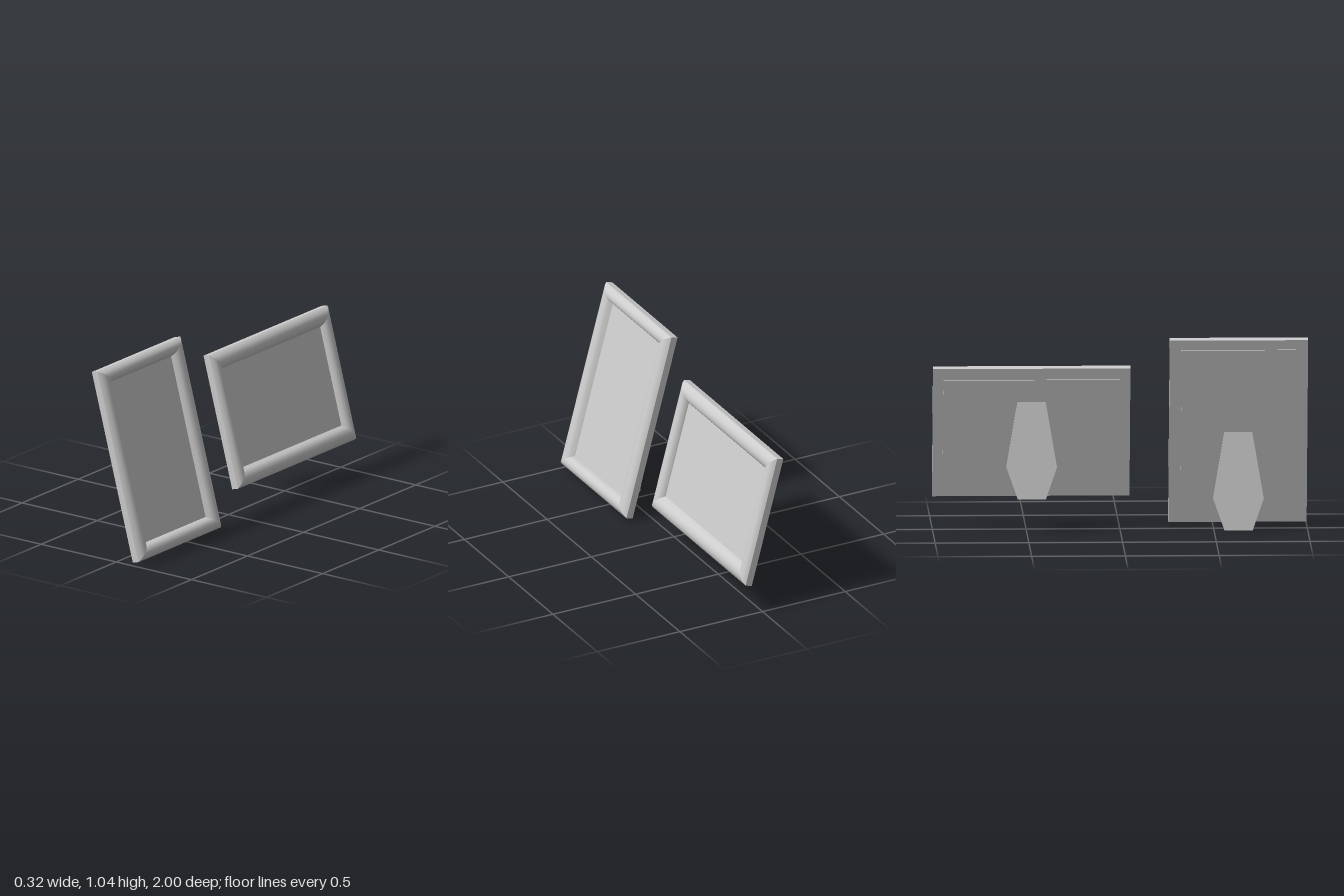
import * as THREE from 'three';
import { toCreasedNormals } from 'three/addons/utils/BufferGeometryUtils.js';

const W = 0.738, H = 1.053;           // outer size of one frame
const RAIL_X = 0.097, RAIL_Y = 0.083; // side and end rail widths
const TILT = THREE.MathUtils.degToRad(15);
const material = new THREE.MeshStandardMaterial({ color: 0xcccccc });

// moulding section: share of the rail width inwards, height above the back
const PROFILE = [
  [0, 0], [0, 0.038], [0.1, 0.049], [0.25, 0.058], [0.42, 0.0625],
  [0.6, 0.0615], [0.75, 0.056], [0.85, 0.049], [1, 0.028], [1, 0],
];
const CORNERS = [[-1, -1], [1, -1], [1, 1], [-1, 1]];

function addMesh(parent, geometry, name) {
  const mesh = new THREE.Mesh(geometry, material);
  mesh.name = name;
  parent.add(mesh);
  return mesh;
}

// one mitred rail between two neighbouring corners
function railGeometry(k) {
  const at = (corner, [t, n]) => [
    corner[0] * (W / 2 - t * RAIL_X), corner[1] * (H / 2 - t * RAIL_Y), n];
  const from = CORNERS[k], to = CORNERS[(k + 1) % 4];
  const positions = [];
  PROFILE.forEach((p, i) => {
    const q = PROFILE[(i + 1) % PROFILE.length];
    const a = at(from, p), b = at(to, p), c = at(from, q), d = at(to, q);
    positions.push(...a, ...b, ...d, ...a, ...d, ...c);
  });
  const geometry = new THREE.BufferGeometry();
  geometry.setAttribute('position', new THREE.Float32BufferAttribute(positions, 3));
  return toCreasedNormals(geometry, 0.55);
}

function makeFrame(name) {
  const frame = new THREE.Group();
  frame.name = name;
  ['bottomRail', 'sideRailA', 'topRail', 'sideRailB'].forEach((rail, k) =>
    addMesh(frame, railGeometry(k), rail));
  // picture surface inside the moulding
  addMesh(frame, new THREE.BoxGeometry(W - 2 * RAIL_X, H - 2 * RAIL_Y, 0.026), 'picturePanel')
    .position.z = 0.015;
  // thin board standing slightly proud of the back
  addMesh(frame, new THREE.BoxGeometry(W - 0.128, H - 0.11, 0.01), 'backBoard')
    .position.z = -0.001;
  return frame;
}

// leaning support: six-sided outline, level top and foot
function legGeometry() {
  const half = [[0.075, 0], [0.135, 0.17], [0.075, 0.52]];
  const outline = [...half, ...half.map(([x, y]) => [-x, y]).reverse()];
  const shape = new THREE.Shape(outline.map(([x, y]) => new THREE.Vector2(x, y)));
  const geometry = new THREE.ExtrudeGeometry(shape, { depth: 0.019, bevelEnabled: false });
  geometry.rotateY(Math.PI / 2);
  const pos = geometry.attributes.position;
  for (let i = 0; i < pos.count; i++) pos.setX(i, pos.getX(i) + pos.getY(i) * 0.084);
  geometry.computeVertexNormals();
  return geometry;
}

export function createModel() {
  const model = new THREE.Group();
  model.name = 'pictureFrames';
  const stands = [
    { name: 'portrait', turn: 0, frame: [-0.026, 0.5286, 0.631], leg: [-0.093, 0.002, 0.631] },
    { name: 'landscape', turn: Math.PI / 2, frame: [-0.0306, 0.5275, -0.473], leg: [-0.126, 0.18, -0.473] },
  ];
  for (const s of stands) {
    const stand = new THREE.Group();
    stand.name = s.name + 'Stand';
    const frame = makeFrame(s.name + 'Frame');
    // face +x and lean back
    frame.rotation.set(-TILT, Math.PI / 2, s.turn, 'YXZ');
    frame.position.set(...s.frame);
    stand.add(frame);
    addMesh(stand, legGeometry(), s.name + 'Leg').position.set(...s.leg);
    model.add(stand);
  }
  return model;
}
